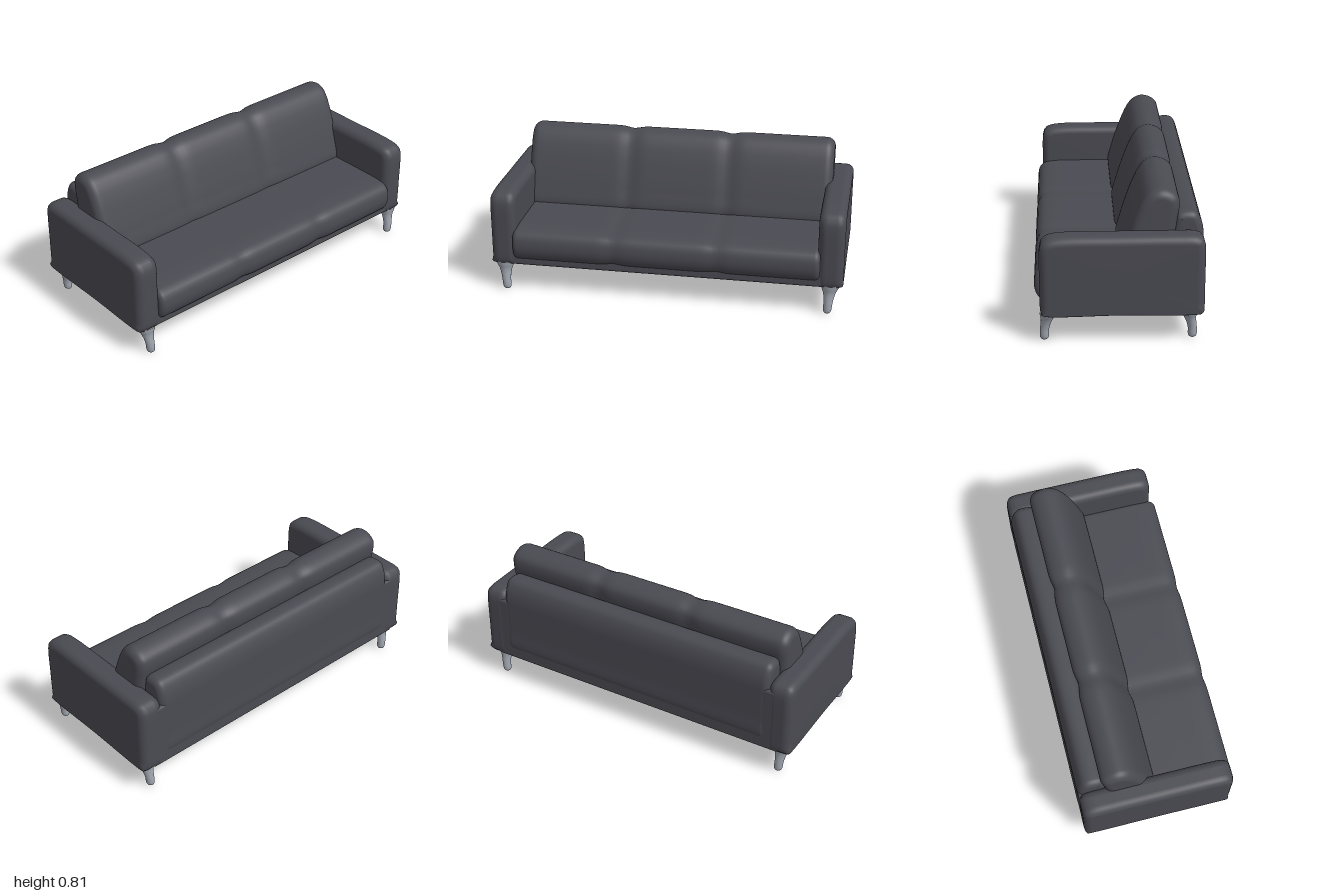
import * as THREE from 'three';
import { RoundedBoxGeometry } from 'three/addons/geometries/RoundedBoxGeometry.js';

const fabric = new THREE.MeshStandardMaterial({ color: 0x4a4a52 });
fabric.name = 'charcoal upholstery';
const metal = new THREE.MeshStandardMaterial({ color: 0xa0a6b0 });
metal.name = 'satin metal';

// Sweeps a closed counter-clockwise (x, y) profile along z, with rounded ends
// of radius r and soft creases of the given depth at the seams.
function padGeometry(profile, z0, z1, r, { seams = [], depth = 0, floor = 0, tension = 0.5 } = {}) {
  const curve = new THREE.CatmullRomCurve3(
    profile.map(([x, y]) => new THREE.Vector3(x, y, 0)), true, 'centripetal', tension);
  const count = 96;
  const ring = curve.getSpacedPoints(count).slice(0, count);
  const stations = [];
  const endSteps = 8, midSteps = 64;
  const round = k => {
    const a = (k / endSteps) * Math.PI / 2;
    return [r * (1 - Math.cos(a)), r * (1 - Math.sin(a))];
  };
  for (let k = 0; k < endSteps; k++) {
    const [d, inset] = round(k);
    stations.push([z0 + d, inset]);
  }
  for (let k = 0; k <= midSteps; k++) stations.push([z0 + r + (z1 - z0 - 2 * r) * k / midSteps, 0]);
  for (let k = endSteps - 1; k >= 0; k--) {
    const [d, inset] = round(k);
    stations.push([z1 - d, inset]);
  }

  const pos = [], index = [];
  const centre = new THREE.Vector3();
  ring.forEach(p => centre.addScaledVector(p, 1 / count));
  for (const [z, endInset] of stations) {
    let inset = endInset;
    for (const s of seams) inset += depth * Math.exp(-(((z - s) / 0.045) ** 2));
    ring.forEach((p, j) => {
      const a = ring[(j + count - 1) % count], b = ring[(j + 1) % count];
      const tx = b.x - a.x, ty = b.y - a.y, l = Math.hypot(tx, ty);
      const amount = p.y < floor ? inset * 0.35 : inset;
      pos.push(p.x - ty / l * amount, p.y + tx / l * amount, z);
    });
  }
  for (let i = 0; i < stations.length - 1; i++) {
    for (let j = 0; j < count; j++) {
      const k = (j + 1) % count;
      const a = i * count + j, b = i * count + k;
      index.push(a, b, b + count, a, b + count, a + count);
    }
  }
  // End caps
  const start = pos.length / 3, last = (stations.length - 1) * count;
  pos.push(centre.x, centre.y, z0, centre.x, centre.y, z1);
  for (let j = 0; j < count; j++) {
    const k = (j + 1) % count;
    index.push(start, k, j, start + 1, last + j, last + k);
  }
  const g = new THREE.BufferGeometry();
  g.setAttribute('position', new THREE.Float32BufferAttribute(pos, 3));
  g.setIndex(index);
  g.computeVertexNormals();
  return g;
}

// Flared leg: its outer edge stays straight while the top widens inwards.
function legGeometry(sx, sz) {
  const rows = [[0.001, 0], [0.013, 0.002], [0.021, 0.01], [0.024, 0.025], [0.024, 0.06],
    [0.027, 0.095], [0.033, 0.125], [0.042, 0.15], [0.046, 0.17]];
  const path = new THREE.SplineCurve(rows.map(([r, y]) => new THREE.Vector2(r, y)));
  const g = new THREE.LatheGeometry(path.getPoints(32), 28);
  const p = g.attributes.position;
  for (let i = 0; i < p.count; i++) {
    const y = p.getY(i);
    const flare = 0.021 * THREE.MathUtils.smoothstep(y, 0.04, 0.17);
    const t = y / 0.17;
    p.setX(i, p.getX(i) - sx * flare);
    p.setZ(i, p.getZ(i) * (0.95 + 0.25 * t) + sz * 0.012 * t);
  }
  g.computeVertexNormals();
  return g;
}

export function createModel() {
  const model = new THREE.Group();
  model.name = 'sofa';
  const add = (name, geometry, material = fabric) => {
    const mesh = new THREE.Mesh(geometry, material);
    mesh.name = name;
    model.add(mesh);
    return mesh;
  };
  const box = (name, x0, x1, y0, y1, z, r) => {
    add(name, new RoundedBoxGeometry(x1 - x0, y1 - y0, 2 * z, 4, r))
      .position.set((x0 + x1) / 2, (y0 + y1) / 2, 0);
  };

  // Frame
  box('baseFrame', -0.43, 0.408, 0.157, 0.34, 0.94, 0.015);
  box('backPanel', -0.44, -0.32, 0.158, 0.545, 0.93, 0.015);

  // Arms
  const armProfile = [
    [-0.425, 0.157], [0, 0.157], [0.395, 0.157], [0.411, 0.167], [0.414, 0.2], [0.415, 0.35],
    [0.413, 0.52], [0.403, 0.558], [0.375, 0.58], [0.31, 0.592], [0, 0.595], [-0.3, 0.595],
    [-0.39, 0.592], [-0.425, 0.577], [-0.438, 0.545], [-0.441, 0.5], [-0.441, 0.35],
    [-0.441, 0.19], [-0.438, 0.166],
  ];
  for (const [name, side] of [['leftArm', -1], ['rightArm', 1]]) {
    const a = side * 0.852, b = side * 0.998;
    add(name, padGeometry(armProfile, Math.min(a, b), Math.max(a, b), 0.045, { floor: 0.18 }));
  }

  // Backrest
  add('backrest', padGeometry([
    [-0.42, 0.2], [-0.32, 0.2], [-0.27, 0.24], [-0.27, 0.45], [-0.28, 0.6], [-0.295, 0.66],
    [-0.32, 0.675], [-0.38, 0.678], [-0.405, 0.665], [-0.427, 0.625], [-0.439, 0.57],
    [-0.441, 0.5], [-0.441, 0.35], [-0.44, 0.23],
  ], -0.86, 0.86, 0.04));

  // Seat cushions
  const seams = [-0.29, 0.29];
  add('seatCushions', padGeometry([
    [-0.3, 0.2], [0, 0.195], [0.37, 0.19], [0.42, 0.208], [0.442, 0.255], [0.444, 0.3],
    [0.434, 0.34], [0.41, 0.365], [0.36, 0.377], [0.2, 0.381], [0, 0.381], [-0.3, 0.38],
  ], -0.868, 0.868, 0.03, { seams, depth: 0.008 }));

  // Back cushions
  add('backCushions', padGeometry([
    [-0.24, 0.34], [-0.02, 0.34], [0, 0.38], [-0.025, 0.49], [-0.06, 0.6], [-0.092, 0.685],
    [-0.125, 0.75], [-0.16, 0.79], [-0.21, 0.809], [-0.265, 0.797], [-0.303, 0.765],
    [-0.311, 0.72], [-0.3, 0.64], [-0.28, 0.5], [-0.26, 0.38],
  ], -0.892, 0.892, 0.05, { seams, depth: 0.013 }));

  // Legs
  for (const sx of [-1, 1]) {
    for (const sz of [-1, 1]) {
      const name = (sx > 0 ? 'front' : 'back') + (sz > 0 ? 'Right' : 'Left') + 'Leg';
      add(name, legGeometry(sx, sz), metal).position.set(sx > 0 ? 0.394 : -0.384, 0, sz * 0.916);
    }
  }
  return model;
}
